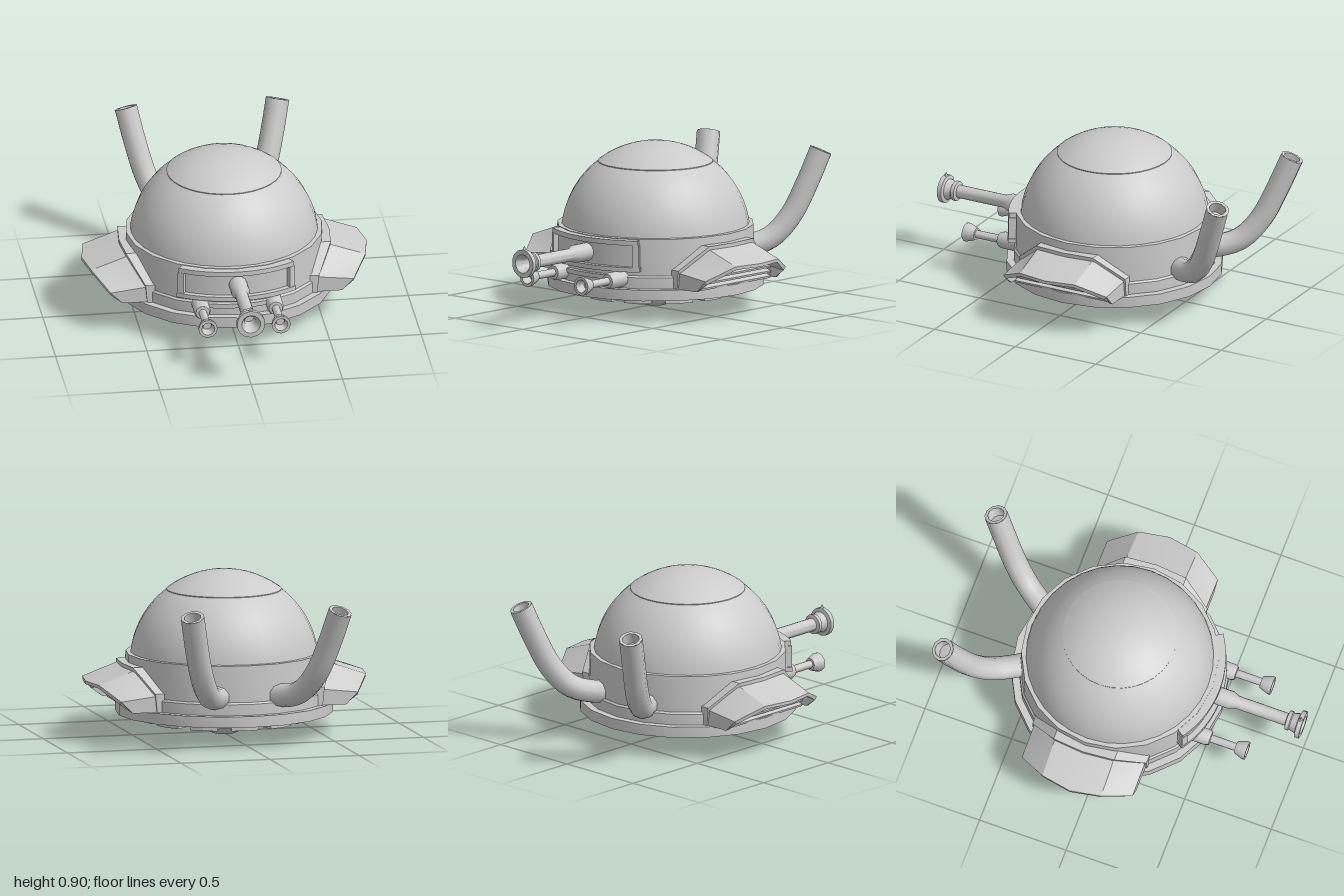
import * as THREE from 'three';
import { toCreasedNormals } from 'three/addons/utils/BufferGeometryUtils.js';

const CZ = -0.06; // z of the body axis

export function createModel() {
  const root = new THREE.Group();
  const grey = new THREE.MeshStandardMaterial({ color: 0xcccccc });
  const thin = new THREE.MeshStandardMaterial({ color: 0xcccccc, side: THREE.DoubleSide });

  function add(name, geo, x = 0, y = 0, z = 0, mat = grey, parent = root) {
    const m = new THREE.Mesh(geo, mat);
    m.name = name;
    m.position.set(x, y, z);
    parent.add(m);
    return m;
  }
  const lathe = (pts, sides, crease = 0.5) =>
    toCreasedNormals(new THREE.LatheGeometry(pts.map(p => new THREE.Vector2(...p)), sides), crease);

  // Slab bent around the body axis, centred on the front
  function arcSlab(r0, r1, y0, y1, a0, a1) {
    const s = new THREE.Shape();
    s.absarc(0, 0, r1, a0 - Math.PI / 2, a1 - Math.PI / 2, false);
    s.absarc(0, 0, r0, a1 - Math.PI / 2, a0 - Math.PI / 2, true);
    const g = new THREE.ExtrudeGeometry(s, { depth: y1 - y0, bevelEnabled: false, curveSegments: 10 });
    g.rotateX(-Math.PI / 2);
    g.translate(0, y0, 0);
    return toCreasedNormals(g, 0.5);
  }

  // Closed strip lofted through four-cornered sections
  function loft(sections) {
    const pos = [];
    const quad = (a, b, c, d) => pos.push(...a, ...b, ...c, ...a, ...c, ...d);
    for (let i = 0; i < sections.length - 1; i++) {
      const p = sections[i], q = sections[i + 1];
      for (let k = 0; k < 4; k++) {
        const n = (k + 1) % 4;
        quad(p[k], p[n], q[n], q[k]);
      }
    }
    const e = sections[sections.length - 1];
    quad(...[...sections[0]].reverse());
    quad(...e);
    const g = new THREE.BufferGeometry();
    g.setAttribute('position', new THREE.Float32BufferAttribute(pos, 3));
    g.computeVertexNormals();
    return toCreasedNormals(g, 0.4);
  }

  // Body: base ring, drum, dome and cap
  add('baseRing', lathe([[0, 0.135], [0.53, 0.135], [0.545, 0.12], [0.59, 0.12], [0.59, 0.18], [0.5, 0.18]], 20), 0, 0, CZ);
  add('drum', lathe([[0.55, 0.17], [0.55, 0.24], [0.54, 0.25], [0.535, 0.45], [0.5, 0.452]], 20), 0, 0, CZ);
  const sphere = (r, c, a0, a1, n) => Array.from({ length: n + 1 }, (_, i) => {
    const a = a0 + (a1 - a0) * i / n;
    return [Math.max(0, r * Math.cos(a)), c + r * Math.sin(a)];
  });
  add('dome', lathe(sphere(0.514, 0.38, 0.13, 0.94, 10), 32), 0, 0, CZ);
  add('domeCap', lathe([[0.29, 0.785], [0.312, 0.788], ...sphere(0.519, 0.378, 0.925, Math.PI / 2, 7)], 32), 0, 0, CZ);

  // Notched wheel and hub below the body
  const gear = new THREE.Shape();
  const teeth = 12, step = Math.PI * 2 / teeth;
  for (let i = 0; i < teeth; i++) {
    const a = i * step;
    [[0.44, -0.34], [0.445, 0], [0.44, 0.34], [0.35, 0.34], [0.35, 0.66]].forEach(([r, t], k) => {
      const x = r * Math.cos(a + t * step), y = r * Math.sin(a + t * step);
      i + k === 0 ? gear.moveTo(x, y) : gear.lineTo(x, y);
    });
  }
  const gearGeo = new THREE.ExtrudeGeometry(gear, { depth: 0.022, bevelEnabled: false });
  gearGeo.rotateX(-Math.PI / 2);
  add('notchedWheel', gearGeo, 0, 0.078, CZ);
  add('hub', lathe([[0, 0], [0.06, 0.002], [0.1, 0.02], [0.125, 0.05], [0.132, 0.085], [0, 0.085]], 20, 0.7), 0, 0, CZ);

  // Curved visor on the front
  const visor = new THREE.Group();
  visor.name = 'visor';
  visor.position.z = CZ;
  root.add(visor);
  add('visorPanel', arcSlab(0.52, 0.55, 0.29, 0.43, -0.55, 0.55), 0, 0, 0, grey, visor);
  add('visorTop', arcSlab(0.5, 0.575, 0.42, 0.447, -0.58, 0.58), 0, 0, 0, grey, visor);
  add('visorBottom', arcSlab(0.5, 0.58, 0.275, 0.3, -0.6, 0.6), 0, 0, 0, grey, visor);
  for (const s of [-1, 1])
    add('visorSide', arcSlab(0.5, 0.577, 0.3, 0.42, s * 0.56 - 0.03, s * 0.56 + 0.03), 0, 0, 0, grey, visor);
  add('lowerStrip', arcSlab(0.5, 0.562, 0.225, 0.25, -0.3, 0.3), 0, 0, CZ);

  // Guns
  const gun = (pts, sides) => lathe(pts, sides, 0.75).rotateX(Math.PI / 2);
  add('mainGun', gun([[0.05, 0.42], [0.05, 0.585], [0.036, 0.62], [0.036, 0.905], [0.055, 0.91], [0.055, 0.93],
    [0.048, 0.935], [0.058, 0.97], [0.078, 0.975], [0.078, 1], [0.052, 1], [0.03, 0.96], [0.03, 0.9], [0, 0.9]], 14), 0, 0.36, 0);
  add('gunSight', new THREE.ConeGeometry(0.014, 0.025, 4), 0, 0.446, 0.985);
  for (const s of [-1, 1])
    add('smallGun', gun([[0.046, 0.4], [0.046, 0.52], [0.038, 0.54], [0.022, 0.542], [0.022, 0.685], [0.034, 0.685],
      [0.052, 0.735], [0.052, 0.75], [0.036, 0.75], [0.024, 0.72], [0.024, 0.7], [0, 0.7]], 12), s * 0.2, 0.228, 0);

  for (const s of [-1, 1]) {
    // Exhaust pipe, open at the top
    const path = new THREE.CatmullRomCurve3([[0.1, 0.28, -0.45], [0.2, 0.28, -0.6], [0.265, 0.32, -0.7],
      [0.325, 0.435, -0.79], [0.375, 0.61, -0.865], [0.415, 0.785, -0.93]].map(([x, y, z]) => new THREE.Vector3(s * x, y, z)));
    const pipe = new THREE.Group();
    pipe.name = 'exhaustPipe';
    root.add(pipe);
    add('pipeOuter', new THREE.TubeGeometry(path, 20, 0.064, 10), 0, 0, 0, grey, pipe);
    add('pipeInner', new THREE.TubeGeometry(path, 20, 0.048, 10), 0, 0, 0, thin, pipe);
    const end = path.getPointAt(1), dir = path.getTangentAt(1), plug = path.getPointAt(0.92);
    const lip = add('pipeLip', new THREE.RingGeometry(0.046, 0.064, 10), end.x, end.y, end.z, thin, pipe);
    lip.lookAt(end.clone().add(dir));
    const floor = add('pipePlug', new THREE.CircleGeometry(0.05, 10), plug.x, plug.y, plug.z, thin, pipe);
    floor.lookAt(plug.clone().add(dir));

    // Side hood: arch on the body lofted out to a drooping lip
    const hood = new THREE.Group();
    hood.name = 'sideHood';
    hood.position.z = CZ;
    root.add(hood);
    // depth, root y, root x, lip y, lip x
    const half = [[0.32, 0.18, 0.44, 0.18, 0.6], [0.32, 0.27, 0.45, 0.245, 0.665], [0.17, 0.395, 0.535, 0.318, 0.75], [0, 0.395, 0.55, 0.318, 0.78]];
    const arch = [...half, ...half.slice(0, 3).reverse().map(([d, ...r]) => [-d, ...r])];
    add('hoodShell', loft(arch.map(([d, y, x, ly, lx]) => {
      const t = y > 0.2 ? 0.018 : 0;
      return [[s * x, y, d], [s * lx, ly, d], [s * lx, ly - t, d * 0.95], [s * x, y - t, d * 0.95]];
    })), 0, 0, 0, thin, hood);
    add('hoodFlange', loft(arch.map(([d, y, x]) => {
      const t = y > 0.2 ? 0.012 : 0, o = d * 1.03;
      return [[s * (x - 0.05), y + t, o], [s * (x + 0.025), y + t, o],
        [s * (x + 0.025), y - t, d * 0.95], [s * (x - 0.05), y - t, d * 0.95]];
    })), 0, 0, 0, thin, hood);
    // Louvres under the hood
    for (let i = 0; i < 5; i++) {
      const y = 0.195 + i * 0.028;
      const slat = add('louvre', new THREE.BoxGeometry(0.09, 0.012, i < 3 ? 0.59 : 0.59 - (i - 2) * 0.09), s * 0.535, y, 0, grey, hood);
      slat.rotation.z = -s * 0.3;
    }
    add('louvreBack', new THREE.BoxGeometry(0.06, 0.09, 0.59), s * 0.475, 0.22, 0, grey, hood);
  }
  return root;
}
